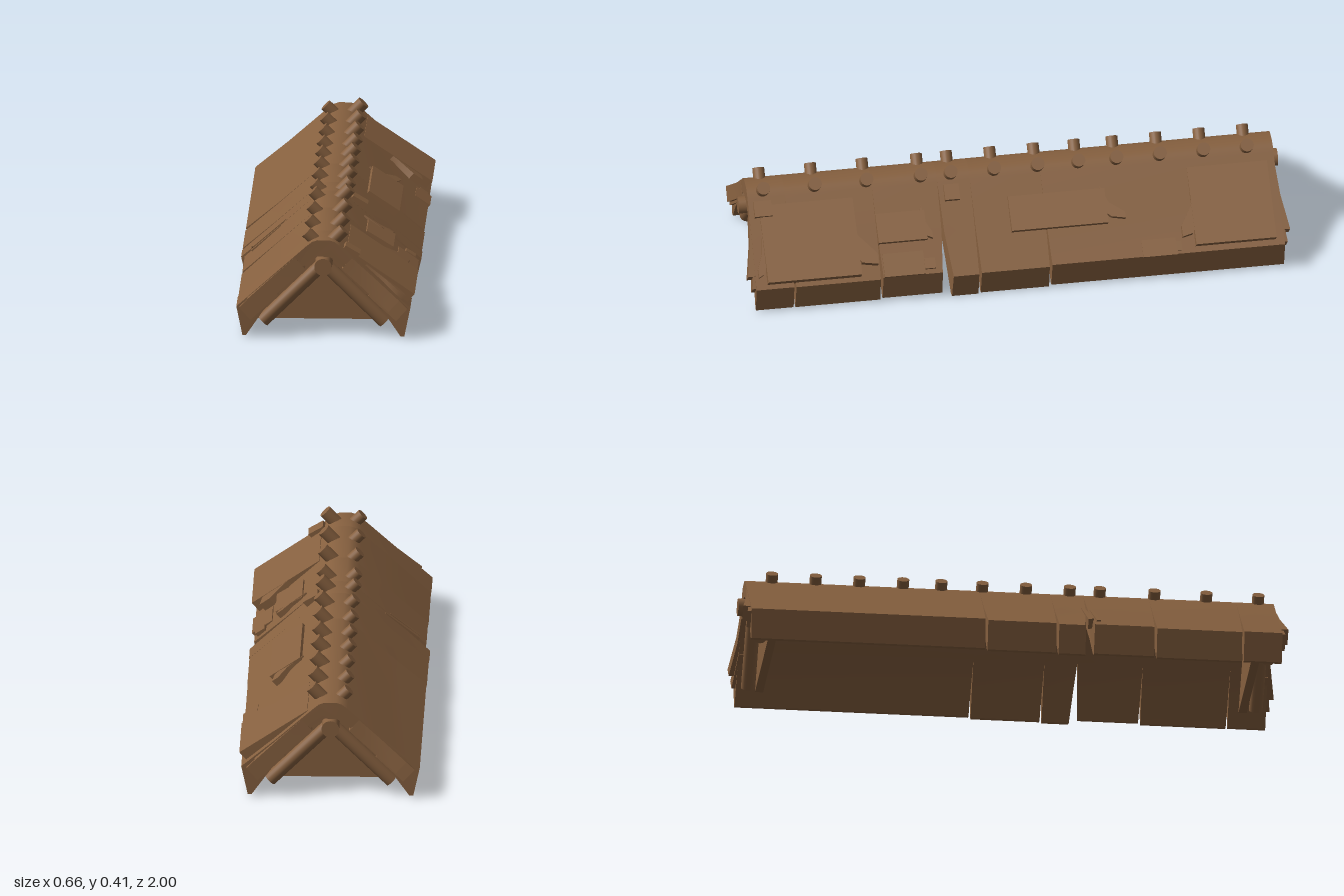
import * as THREE from 'three';
import { toCreasedNormals } from 'three/addons/utils/BufferGeometryUtils.js';

const thatch = new THREE.MeshStandardMaterial({ color: 0x86603f });
thatch.name = 'thatchBrown';

// move every vertex by a rule, then restore normals with sharp edges
function reshape(geo, rule) {
  const p = geo.attributes.position;
  for (let i = 0; i < p.count; i++) p.setXYZ(i, ...rule(p.getX(i), p.getY(i), p.getZ(i)));
  return toCreasedNormals(geo.index ? geo.toNonIndexed() : geo, 0.5);
}
const shapeOf = (pts) => new THREE.Shape(pts.map(([a, b]) => new THREE.Vector2(a, b)));
const extrude = (pts, depth) =>
  new THREE.ExtrudeGeometry(shapeOf(pts), { depth, bevelEnabled: false, steps: 1 });

// half of the roof cross-section: outer skin down to the eave, then the underside
const half = [[0.022, 0.368], [0.042, 0.361], [0.062, 0.345], [0.2, 0.221], [0.322, 0.113], [0.299, 0.006],
  [0.285, 0.006], [0.215, 0.108], [0.15, 0.182], [0.1, 0.235], [0.065, 0.278], [0.022, 0.306]];
const profile = [...half, ...half.map(([x, y]) => [-x, y]).reverse()];

// point on the left slope: s runs down from the ridge, n rises out of the roof
const onSlope = (s, n) => [0.062 + 0.746 * s + 0.665 * n, 0.345 - 0.665 * s + 0.746 * n];

export function createModel() {
  const group = new THREE.Group();
  const add = (name, geo) => {
    const mesh = new THREE.Mesh(geo, thatch);
    mesh.name = name;
    group.add(mesh);
    return mesh;
  };

  // round pole between two points
  const pole = (name, a, b, r) => {
    const from = new THREE.Vector3(...a), to = new THREE.Vector3(...b);
    const dir = to.clone().sub(from);
    const mesh = add(name, new THREE.CylinderGeometry(r, r, dir.length(), 20));
    mesh.position.copy(from).lerp(to, 0.5);
    mesh.quaternion.setFromUnitVectors(new THREE.Vector3(0, 1, 0), dir.normalize());
  };

  // slab lying on the slope; plan is [z, s] points, top height goes from h0 at s0 to h1 at s1
  const slab = (name, plan, h0, h1, base = -0.02, mx = 1, mz = 1) => {
    const ss = plan.map((p) => p[1]), s0 = Math.min(...ss), s1 = Math.max(...ss);
    // a single mirror flips the winding, so the layer is built upside down to compensate
    const flip = mx * mz < 0;
    const geo = reshape(extrude(plan, 1), (z, s, w) => {
      const top = h0 + (h1 - h0) * (s - s0) / (s1 - s0);
      const [x, y] = onSlope(s, base + (flip ? 1 - w : w) * (top - base));
      return [x * mx, y, z * mz];
    });
    add(name, geo);
  };
  const rect = (z0, z1, s0, s1) => [[z0, s0], [z1, s0], [z1, s1], [z0, s1]];

  // thatch sections: [z start, z end, eave split at start, eave split at end, eave width, eave drop]
  const sections = [
    [-0.968, -0.11, -0.004, 0.006, 1.01, 0.006], [-0.11, 0.15, 0.004, 0.006, 1.015, 0],
    [0.15, 0.27, 0.004, 0.022, 1.02, -0.004], [0.27, 0.51, 0.016, 0.006, 0.975, 0.008],
    [0.51, 0.83, 0.004, 0.005, 0.98, 0.002], [0.83, 0.968, 0.003, -0.004, 0.985, 0.004],
  ];
  for (const [z0, z1, g0, g1, wide, drop] of sections) {
    add('thatchSection', reshape(extrude(profile, 1), (x, y, w) => {
      const t = Math.max(0, (Math.abs(x) - 0.16) / 0.16);
      const z = w < 0.5 ? z0 + g0 * t : z1 - g1 * t;
      return [x * (1 + (wide - 1) * t), y + drop * t, z];
    }));
  }

  // loose straw layers flaring out at the gable ends
  for (const mx of [1, -1]) for (const mz of [1, -1]) {
    slab('endFlap', [[0.94, 0.06], [0.969, 0.06], [0.976, 0.16], [0.998, 0.29], [0.94, 0.29]],
      -0.004, -0.002, -0.06, mx, mz);
    slab('eaveFlap', [[0.95, 0.2], [0.969, 0.2], [0.985, 0.335], [0.95, 0.335]],
      -0.003, -0.008, -0.07, mx, mz);
  }

  // raised patches on the left slope
  slab('largePatch', rect(0.585, 0.93, 0.03, 0.325), 0.002, 0.04);
  slab('largePatch', rect(-0.94, -0.645, 0.03, 0.325), 0.002, 0.043);
  slab('middlePatch', rect(-0.335, 0.02, 0.08, 0.212), 0.012, 0.03);
  slab('middlePatch', rect(0.33, 0.51, 0.1, 0.212), 0.006, 0.026);
  slab('eavePatch', rect(0.35, 0.5, 0.25, 0.338), 0.004, 0.014);
  slab('eavePatch', rect(0.31, 0.35, 0.28, 0.32), 0.01, 0.016);
  slab('eavePatch', rect(-0.575, -0.45, 0.285, 0.35), 0.006, 0.014);
  slab('eavePatch', rect(-0.595, -0.575, 0.3, 0.335), 0.008, 0.012);
  slab('ridgePatch', rect(0.885, 0.95, 0.015, 0.075), 0.012, 0.024);
  slab('ridgePatch', rect(0.195, 0.25, 0.015, 0.075), 0.012, 0.024);

  // curved straw tufts peeling away from the patch sides
  const tuft = (z, dir, s0, s1, spread, h) => slab('strawTuft', [
    [z, s0], [z + dir * spread * 0.3, s0 + (s1 - s0) * 0.5], [z + dir * spread, s0 + (s1 - s0) * 0.82],
    [z + dir * spread, s1], [z + dir * spread * 0.35, s1 - 0.01], [z - dir * 0.02, s0 + (s1 - s0) * 0.55],
  ], 0.006, h);
  tuft(0.61, -1, 0.06, 0.29, 0.09, 0.034);
  tuft(0.93, 1, 0.12, 0.3, 0.03, 0.02);
  tuft(-0.66, 1, 0.06, 0.29, 0.06, 0.034);
  tuft(-0.32, -1, 0.07, 0.2, 0.08, 0.028);
  tuft(0.34, -1, 0.08, 0.21, 0.03, 0.024);

  // ragged strands beside the main split on the right slope
  slab('splitStrand', [[0.25, 0.14], [0.262, 0.14], [0.285, 0.29], [0.265, 0.3]], 0.002, 0.008, -0.03, -1);
  slab('splitStrand', [[0.28, 0.16], [0.29, 0.16], [0.31, 0.3], [0.295, 0.3]], 0.002, 0.006, -0.03, -1);

  // pairs of pegs through the ridge
  for (const z of [-0.87, -0.71, -0.55, -0.39, -0.25, -0.1, 0.06, 0.22, 0.33, 0.53, 0.72, 0.91]) {
    pole('ridgePeg', [0.015, 0.335, z], [0.073, 0.395, z], 0.024);
    pole('ridgePeg', [-0.015, 0.335, z], [-0.065, 0.384, z], 0.022);
  }

  // ridge pole, gable rafters and gable walls
  pole('ridgePole', [0, 0.273, -0.99], [0, 0.273, 0.995], 0.032);
  for (const end of [1, -1]) {
    for (const side of [1, -1])
      pole('gableRafter', [0, 0.273, end * 0.93], [side * 0.222, 0.054, end * 0.93], 0.025);
    const wall = add('gableWall', extrude([[-0.255, 0.055], [0.255, 0.055], [0.03, 0.3], [-0.03, 0.3]], 0.03));
    wall.position.z = end * 0.885 - 0.015;
  }
  return group;
}
